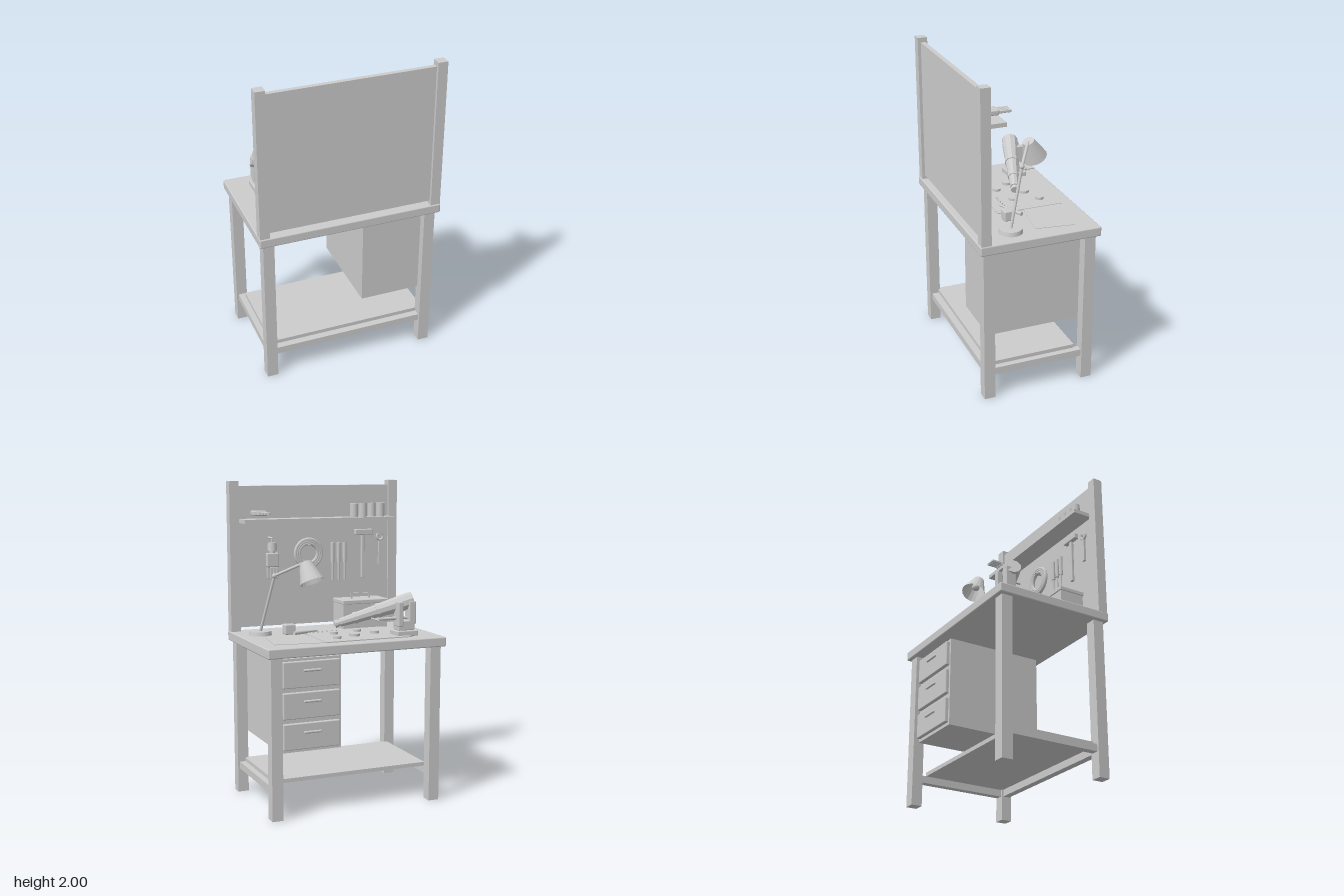
import * as THREE from 'three';
import { RoundedBoxGeometry } from 'three/addons/geometries/RoundedBoxGeometry.js';

const V = (x, y, z) => new THREE.Vector3(x, y, z);
const UP = V(0, 1, 0);
const smooth = new THREE.MeshStandardMaterial({ color: 0xcccccc, side: THREE.DoubleSide });
const flat = new THREE.MeshStandardMaterial({ color: 0xcccccc, side: THREE.DoubleSide, flatShading: true });

export function createModel() {
  const root = new THREE.Group();

  const add = (name, geo, pos = V(0, 0, 0), parent = root, mat = smooth) => {
    const m = new THREE.Mesh(geo, mat);
    m.name = name;
    m.position.copy(pos);
    parent.add(m);
    return m;
  };
  const group = (name, pos = V(0, 0, 0)) => {
    const g = new THREE.Group();
    g.name = name;
    g.position.copy(pos);
    root.add(g);
    return g;
  };
  // Box given by its ranges on each axis, with an optional rounded edge
  const box = (name, x0, x1, y0, y1, z0, z1, parent = root, round = 0) => {
    const s = [x1 - x0, y1 - y0, z1 - z0];
    const geo = round ? new RoundedBoxGeometry(...s, 2, round) : new THREE.BoxGeometry(...s);
    return add(name, geo, V((x0 + x1) / 2, (y0 + y1) / 2, (z0 + z1) / 2), parent);
  };
  // Cylinder or cone from point a (radius ra) to point b (radius rb)
  const rod = (name, a, b, ra, rb = ra, parent = root, seg = 14, open = false) => {
    const d = b.clone().sub(a);
    const m = add(name, new THREE.CylinderGeometry(rb, ra, d.length(), seg, 1, open), a.clone().lerp(b, 0.5), parent);
    m.quaternion.setFromUnitVectors(UP, d.normalize());
    return m;
  };

  // Table frame
  box('tableTop', -0.585, 0.585, 0.99, 1.05, -0.385, 0.385, root, 0.008);
  for (const sx of [-1, 1]) {
    for (const sz of [-1, 1]) add('leg', new THREE.BoxGeometry(0.07, 0.99, 0.07), V(sx * 0.525, 0.495, sz * 0.325));
    add('sideRail', new THREE.BoxGeometry(0.045, 0.045, 0.58), V(sx * 0.525, 0.178, 0));
    add('boardPost', new THREE.BoxGeometry(0.062, 0.95, 0.062), V(sx * 0.551, 1.525, 0.348));
  }
  box('backRail', -0.49, 0.49, 0.155, 0.2, 0.3, 0.345);
  box('lowerShelf', -0.51, 0.51, 0.2, 0.225, -0.258, 0.3);
  box('toolBoard', -0.52, 0.52, 1.075, 1.97, 0.33, 0.36);
  box('upperShelf', -0.522, 0.522, 1.74, 1.765, 0.2, 0.33);

  // Drawer cabinet
  box('cabinet', 0.1, 0.49, 0.405, 0.975, -0.325, 0.31);
  for (let i = 0; i < 3; i++) {
    const y = 0.88 - i * 0.188;
    box('drawerFront', 0.115, 0.48, y - 0.08, y + 0.08, -0.348, -0.32, root, 0.006);
    const h = add('drawerHandle', new THREE.CapsuleGeometry(0.008, 0.1, 4, 10), V(0.297, y + 0.025, -0.357));
    h.rotation.z = Math.PI / 2;
  }

  // Jars on the shelf
  for (let i = 0; i < 4; i++)
    add('jar', new THREE.CylinderGeometry(0.027, 0.027, 0.088, 20), V(-0.439 + i * 0.063, 1.809, 0.272));

  // Mechanical hand, fingers pointing down
  const hand = (name, pos) => {
    const g = group(name, pos);
    box('palm', -0.041, 0.041, -0.045, 0.045, -0.016, 0.016, g, 0.008);
    for (let i = 0; i < 4; i++) {
      const x = -0.03 + i * 0.02;
      box('finger', x - 0.007, x + 0.007, -0.118, -0.045, -0.008, 0.008, g, 0.003);
    }
    return g;
  };
  hand('shelfHand', V(0.411, 1.802, 0.26)).rotation.x = Math.PI / 2;
  const hung = hand('hangingHand', V(0.32, 1.505, 0.265));
  rod('wrist', V(0, 0.045, 0), V(0, 0.06, 0), 0.018, 0.018, hung);
  rod('forearmStub', V(0, 0.06, 0), V(0, 0.11, 0), 0.031, 0.028, hung);
  rod('hook', V(0, 0.137, -0.01), V(0, 0.137, 0.07), 0.007, 0.007, hung);
  rod('hookLink', V(0, 0.1, 0), V(0, 0.137, 0), 0.006, 0.006, hung);

  // Coiled cable
  for (const r of [0.09, 0.077, 0.064])
    add('cableCoil', new THREE.TorusGeometry(r, 0.012, 8, 36), V(0.057, 1.535, 0.307));
  rod('coilPeg', V(0.057, 1.59, 0.28), V(0.057, 1.59, 0.335), 0.006);

  // Screwdrivers on the board
  for (const x of [-0.115, -0.158, -0.201]) {
    rod('screwdriverHandle', V(x, 1.47, 0.312), V(x, 1.6, 0.312), 0.012, 0.014);
    rod('screwdriverShaft', V(x, 1.355, 0.312), V(x, 1.47, 0.312), 0.006);
  }

  // Hammer and spanner
  box('hammerHead', -0.395, -0.27, 1.645, 1.682, 0.288, 0.32, root, 0.005);
  box('hammerHandle', -0.342, -0.318, 1.36, 1.65, 0.298, 0.318, root, 0.005);
  box('spannerBar', -0.468, -0.446, 1.45, 1.61, 0.305, 0.32);
  const jaw = add('spannerJaw', new THREE.TorusGeometry(0.022, 0.009, 8, 18, Math.PI * 1.5), V(-0.457, 1.63, 0.312));
  jaw.rotation.z = Math.PI * 0.75;

  // Toolbox
  box('toolboxBody', -0.433, -0.12, 1.05, 1.21, 0.145, 0.308);
  box('toolboxLid', -0.438, -0.116, 1.21, 1.236, 0.138, 0.314, root, 0.004);
  box('toolboxHandle', -0.35, -0.205, 1.259, 1.272, 0.222, 0.235);
  for (const x of [-0.34, -0.215]) box('handlePost', x - 0.005, x + 0.005, 1.234, 1.26, 0.224, 0.233);

  // Desk lamp
  const lamp = group('lamp');
  const elbow = V(0.385, 1.428, 0.05), neck = V(0.228, 1.512, -0.055);
  rod('lampBase', V(0.448, 1.05, 0.145), V(0.448, 1.076, 0.145), 0.073, 0.068, lamp, 32);
  rod('lowerArm', V(0.448, 1.07, 0.145), elbow, 0.009, 0.009, lamp);
  rod('upperArm', elbow, neck, 0.009, 0.009, lamp);
  add('elbowJoint', new THREE.SphereGeometry(0.016, 14, 10), elbow, lamp);
  const shadeTop = V(0.224, 1.515, -0.058), shadeRim = V(0.2, 1.398, -0.11);
  rod('lampShade', shadeTop, shadeRim, 0.036, 0.078, lamp, 18, true).material = flat;
  rod('shadeCap', shadeTop, shadeTop.clone().lerp(shadeRim, 0.03), 0.036, 0.037, lamp, 18);
  add('bulb', new THREE.SphereGeometry(0.026, 14, 10), shadeTop.clone().lerp(shadeRim, 0.55), lamp);

  // Mat and paper sheet
  box('workMat', -0.39, 0.185, 1.05, 1.056, -0.303, 0.122);
  const paper = add('paperSheet', new THREE.BoxGeometry(0.36, 0.003, 0.247), V(0.303, 1.0515, -0.154));
  paper.rotation.y = -0.14;

  // Iron and its stand
  box('ironStand', 0.237, 0.309, 1.05, 1.115, 0.07, 0.127, root, 0.008);
  rod('ironGrip', V(0.275, 1.07, 0.003), V(0.17, 1.068, 0.045), 0.012, 0.01);
  rod('ironTip', V(0.17, 1.068, 0.045), V(0.095, 1.066, 0.075), 0.008, 0.006);

  // Loose discs and screws on the mat
  const discs = [[-0.065, -0.152, 0.034], [0.072, -0.202, 0.026], [0.025, -0.04, 0.026], [-0.15, 0, 0.026], [-0.227, -0.1, 0.03]];
  for (const [x, z, r] of discs) rod('gearDisc', V(x, 1.056, z), V(x, 1.072, z), r, r, root, 20);
  for (let i = 0; i < 6; i++) {
    const x = -0.027 + i * 0.0315;
    rod('screw', V(x, 1.056, 0.048), V(x, 1.066, 0.048), 0.005, 0.005, root, 8);
  }

  // Vise
  const vise = group('vise');
  box('viseBase', -0.447, -0.305, 1.05, 1.085, -0.272, -0.155, vise, 0.006);
  box('viseBody', -0.43, -0.32, 1.085, 1.145, -0.255, -0.18, vise, 0.005);
  box('fixedJaw', -0.44, -0.395, 1.12, 1.265, -0.255, -0.185, vise, 0.006);
  box('movingJaw', -0.35, -0.317, 1.11, 1.265, -0.262, -0.185, vise, 0.006);
  rod('viseScrew', V(-0.4, 1.16, -0.215), V(-0.175, 1.16, -0.215), 0.01, 0.01, vise);
  rod('viseHandle', V(-0.177, 1.16, -0.275), V(-0.177, 1.16, -0.16), 0.005, 0.005, vise);

  // Mechanical forearm held in the vise, built from a stepped profile
  const from = V(-0.44, 1.27, -0.208), to = V(0.025, 1.12, -0.055);
  const dir = to.clone().sub(from), len = dir.length();
  const steps = [[0, 0], [0, 0.052], [0.1, 0.053], [0.42, 0.043], [0.42, 0.047], [0.47, 0.046], [0.47, 0.041],
    [0.72, 0.034], [0.72, 0.038], [0.76, 0.037], [0.76, 0.032], [0.94, 0.026], [0.94, 0.019], [0.96, 0.019], [0.96, 0.025], [1, 0.025], [1, 0]];
  const arm = add('forearm', new THREE.LatheGeometry(steps.map(([t, r]) => new THREE.Vector2(r, t * len)), 10), from, root, flat);
  arm.quaternion.setFromUnitVectors(UP, dir.normalize());

  return root;
}
